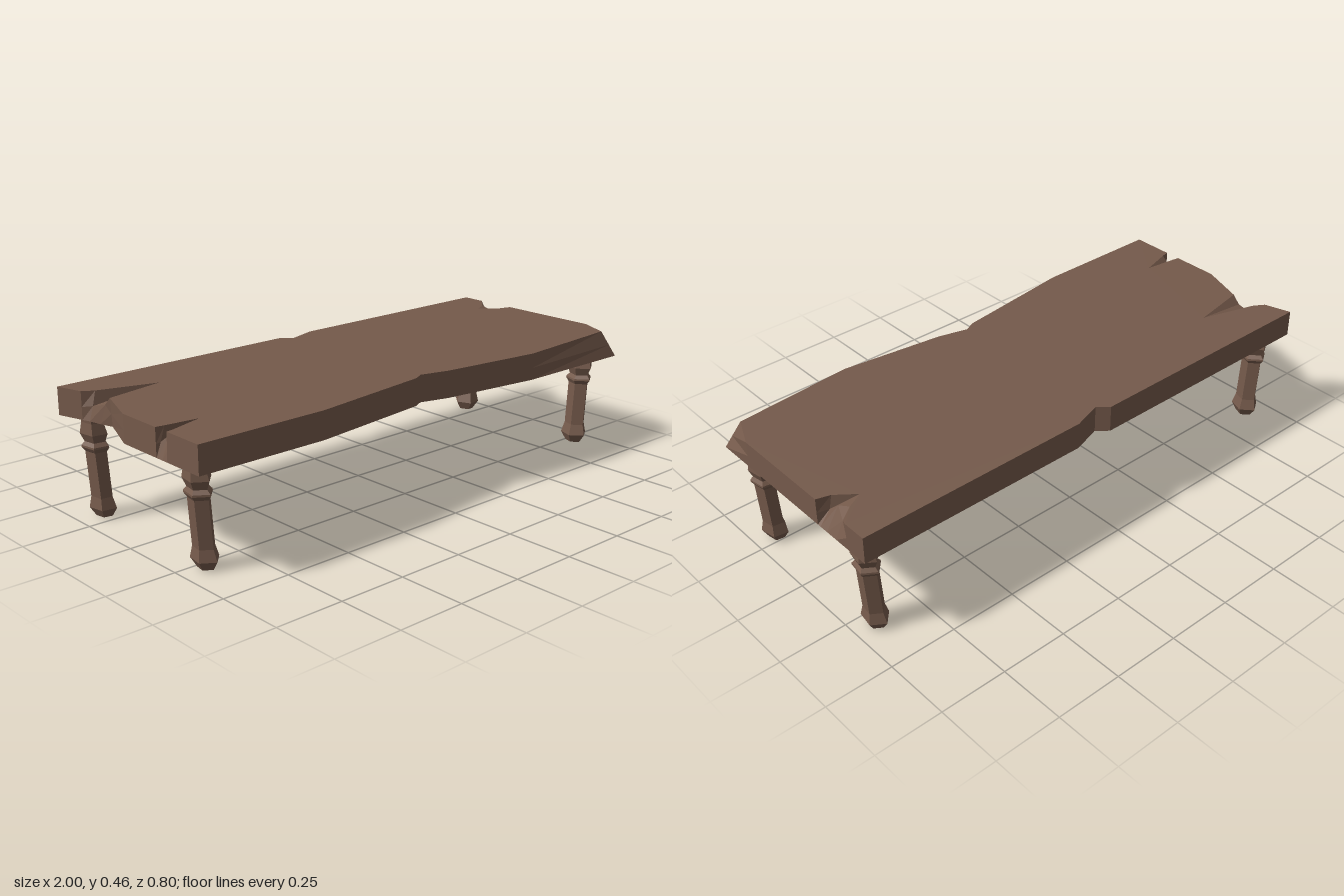
import * as THREE from 'three';

const wood = new THREE.MeshStandardMaterial({ color: 0x755a4b, flatShading: true });
const BOTTOM = 0.36, MIDDLE = 0.405, TOP = 0.46;

// One column of the plank edge: top corner, optional middle point and bottom corner
function column(x, z, mid, bottom = [x, z]) {
  const t = (MIDDLE - BOTTOM) / (TOP - BOTTOM);
  const m = mid || [bottom[0] + (x - bottom[0]) * t, MIDDLE, bottom[1] + (z - bottom[1]) * t];
  return [[bottom[0], BOTTOM, bottom[1]], m, [x, TOP, z]];
}

// Worn plank: three rings joined by side walls and closed by two caps
function plankGeometry() {
  const columns = [
    // front edge
    column(-1, 0.4), column(-0.51, 0.4), column(-0.04, 0.34), column(0, 0.32),
    column(0.11, 0.35), column(0.5, 0.4),
    // broken front corner
    column(0.95, 0.365, null, [1, 0.4]), column(1, 0.25),
    // chip and crack in the left end
    column(1, -0.15),
    column(0.95, -0.165, [0.96, 0.41, -0.165], [1, -0.165]),
    column(0.88, -0.22, [0.95, 0.44, -0.2], [1, -0.2]),
    column(0.94, -0.25, [0.97, 0.42, -0.25], [1, -0.25]),
    column(1, -0.31),
    // back edge with a notch
    column(1, -0.4), column(0.11, -0.4), column(0, -0.365), column(-0.04, -0.4), column(-1, -0.4),
    // large notch and crack in the right end
    column(-0.97, -0.3),
    column(-0.93, -0.275, [-0.945, 0.41, -0.27], [-0.96, -0.27]),
    column(-0.72, -0.21, [-0.94, 0.43, -0.2], [-0.95, -0.22]),
    column(-0.94, -0.17, null, [-0.935, -0.17]),
    column(-1, 0),
    // small chip and crack
    column(-1, 0.18),
    column(-0.97, 0.185, [-0.985, 0.41, 0.185], [-1, 0.185]),
    column(-0.85, 0.2, [-0.97, 0.435, 0.21], [-1, 0.21]),
    column(-0.97, 0.235, [-0.985, 0.41, 0.235], [-1, 0.235]),
    column(-1, 0.24),
  ];
  const n = columns.length;
  const index = [];
  // side walls
  for (let i = 0; i < n; i++) {
    const a = i * 3, b = ((i + 1) % n) * 3;
    for (let k = 0; k < 2; k++) {
      index.push(a + k, b + k, b + k + 1, a + k, b + k + 1, a + k + 1);
    }
  }
  // caps
  for (const level of [0, 2]) {
    const outline = columns.map((c) => new THREE.Vector2(c[level][0], -c[level][2]));
    for (const [a, b, c] of THREE.ShapeUtils.triangulateShape(outline, [])) {
      const face = [a, b, c].map((i) => i * 3 + level);
      index.push(...(level ? face : face.reverse()));
    }
  }
  const indexed = new THREE.BufferGeometry();
  indexed.setAttribute('position', new THREE.Float32BufferAttribute(columns.flat(2), 3));
  indexed.setIndex(index);
  const geometry = indexed.toNonIndexed();
  geometry.computeVertexNormals();
  return geometry;
}

// Five-sided turned leg, leaning outwards towards the top
function legGeometry(sideX, sideZ) {
  const profile = [
    [0, 0], [0.033, 0], [0.055, 0.032], [0.043, 0.073], [0.043, 0.24], [0.045, 0.242],
    [0.055, 0.255], [0.054, 0.262], [0.041, 0.275], [0.055, 0.305], [0.044, 0.345], [0.044, 0.365],
  ].map(([r, y]) => new THREE.Vector2(r, y));
  const start = THREE.MathUtils.degToRad(sideZ > 0 ? 65 : 115) * sideX;
  const geometry = new THREE.LatheGeometry(profile, 5, start);
  geometry.scale(0.84, 1, 1);
  const p = geometry.attributes.position;
  for (let i = 0; i < p.count; i++) p.setX(i, p.getX(i) + sideX * 0.07 * p.getY(i));
  geometry.computeVertexNormals();
  return geometry;
}

export function createModel() {
  const model = new THREE.Group();
  model.name = 'wornTable';

  const plank = new THREE.Mesh(plankGeometry(), wood);
  plank.name = 'tableTop';
  model.add(plank);

  for (const sideX of [1, -1]) {
    for (const sideZ of [1, -1]) {
      const leg = new THREE.Mesh(legGeometry(sideX, sideZ), wood);
      leg.name = (sideZ > 0 ? 'front' : 'back') + (sideX > 0 ? 'Left' : 'Right') + 'Leg';
      leg.position.set(sideX > 0 ? 0.917 : -0.902, 0, sideZ > 0 ? 0.282 : -0.31);
      model.add(leg);
    }
  }
  return model;
}
